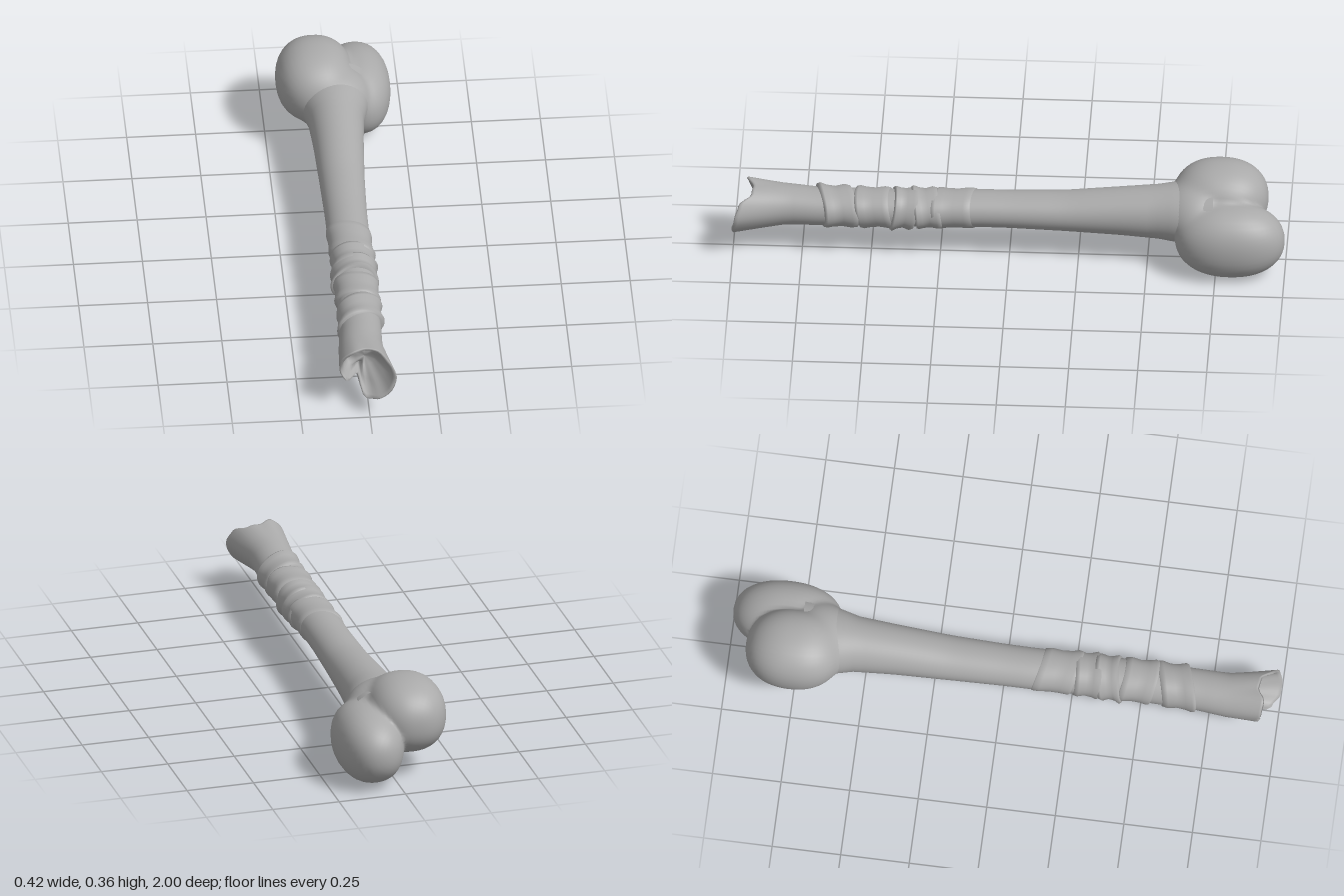
import * as THREE from 'three';
import { mergeVertices } from 'three/addons/utils/BufferGeometryUtils.js';

const SEG = 48;
const lerp = THREE.MathUtils.lerp;

// Shaft cross-sections: z, xMin, xMax, yMin, yMax
const SECTIONS = [
  [-0.74, -0.15, 0.14, 0.08, 0.31], [-0.6, -0.125, 0.112, 0.087, 0.3], [-0.55, -0.109, 0.095, 0.093, 0.292],
  [-0.4, -0.1, 0.083, 0.103, 0.276], [-0.2, -0.094, 0.071, 0.111, 0.253], [0, -0.09, 0.064, 0.116, 0.246],
  [0.1, -0.09, 0.063, 0.116, 0.246], [0.3, -0.085, 0.066, 0.113, 0.242], [0.5, -0.084, 0.066, 0.11, 0.241],
  [0.7, -0.088, 0.063, 0.105, 0.24], [0.8, -0.099, 0.06, 0.101, 0.246], [0.87, -0.105, 0.064, 0.092, 0.25],
];

// Broken rim, every 30 degrees around its centre: radius and z
const RIM_R = [0.108, 0.1, 0.09, 0.086, 0.102, 0.104, 0.096, 0.086, 0.058, 0.104, 0.101, 0.104];
const RIM_Z = [0.99, 0.975, 0.93, 0.925, 0.95, 0.945, 0.93, 0.94, 0.885, 0.97, 0.998, 1.0];

function sectionAt(z) {
  let i = 0;
  while (i < SECTIONS.length - 2 && z > SECTIONS[i + 1][0]) i++;
  const a = SECTIONS[i], b = SECTIONS[i + 1];
  const t = THREE.MathUtils.clamp((z - a[0]) / (b[0] - a[0]), 0, 1);
  return a.map((v, k) => lerp(v, b[k], t));
}

// Point on the shaft at angle a, raised by off
function shaftPoint(z, a, off = 0) {
  const [, x0, x1, y0, y1] = sectionAt(z);
  return new THREE.Vector3(
    (x0 + x1) / 2 + ((x1 - x0) / 2 + off) * Math.cos(a),
    (y0 + y1) / 2 + ((y1 - y0) / 2 + off) * Math.sin(a), z);
}

function rimPoint(a, scale = 1) {
  const k = (a / (Math.PI * 2)) * 12, i = Math.floor(k) % 12, j = (i + 1) % 12;
  const f = k - Math.floor(k), t = f * f * (3 - 2 * f);
  const r = lerp(RIM_R[i], RIM_R[j], t) * scale;
  return new THREE.Vector3(-0.01 + r * Math.cos(a), 0.17 + r * Math.sin(a), lerp(RIM_Z[i], RIM_Z[j], t));
}

// Skin a list of closed rings; each ring is a function of the angle
function loft(rings) {
  const pos = [], idx = [];
  rings.forEach((ring, r) => {
    for (let s = 0; s < SEG; s++) {
      pos.push(...ring((s / SEG) * Math.PI * 2).toArray());
      if (r === rings.length - 1) continue;
      const a = r * SEG + s, b = r * SEG + ((s + 1) % SEG);
      idx.push(a, b, a + SEG, b, b + SEG, a + SEG);
    }
  });
  const g = new THREE.BufferGeometry();
  g.setAttribute('position', new THREE.Float32BufferAttribute(pos, 3));
  g.setIndex(idx);
  g.computeVertexNormals();
  return g;
}

// Two rounded lobes and the neck, blended along rays from a shared inner point
function knobGeometry() {
  const c = new THREE.Vector3(0, 0.18, -0.77);
  const lobes = [
    { o: [-0.068, 0.222, -0.762], r: [0.142, 0.138, 0.172], n: 2.25 },
    { o: [0.087, 0.14, -0.802], r: [0.122, 0.138, 0.198], n: 2.2 },
    { o: [-0.01, 0.195, -0.68], r: [0.14, 0.12, 0.14], n: 2 },
  ];
  const reach = (d, { o, r, n }) => {
    let lo = 0, hi = 0.6;
    for (let k = 0; k < 24; k++) {
      const m = (lo + hi) / 2, p = c.clone().addScaledVector(d, m).toArray();
      const f = p.reduce((s, v, i) => s + Math.abs((v - o[i]) / r[i]) ** n, 0);
      if (f < 1) lo = m; else hi = m;
    }
    return lo;
  };
  let g = new THREE.SphereGeometry(1, 56, 40).rotateX(Math.PI / 2);
  g.deleteAttribute('uv');
  g.deleteAttribute('normal');
  g = mergeVertices(g, 1e-4);
  const P = g.attributes.position, d = new THREE.Vector3();
  for (let i = 0; i < P.count; i++) {
    d.fromBufferAttribute(P, i).normalize();
    const r = lobes.reduce((s, l) => s + reach(d, l) ** 28, 0) ** (1 / 28);
    P.setXYZ(i, c.x + d.x * r, c.y + d.y * r, c.z + d.z * r);
  }
  g.computeVertexNormals();
  return g;
}

export function createModel() {
  const group = new THREE.Group();
  const bone = new THREE.MeshStandardMaterial({ color: 0xaaaaaa });
  bone.name = 'bone grey';
  const add = (name, geometry) => {
    const m = new THREE.Mesh(geometry, bone);
    m.name = name;
    group.add(m);
  };

  add('knob', knobGeometry());

  // Shaft, flaring to the broken rim and turning into a shallow hollow
  const rings = [];
  for (let z = -0.74; z < 0.83; z += 0.04) rings.push(a => shaftPoint(z, a));
  for (const t of [0.4, 0.75, 0.93]) rings.push(a => shaftPoint(0.83, a).lerp(rimPoint(a), t));
  rings.push(a => rimPoint(a));
  for (const [s, dz] of [[0.94, 0.004], [0.87, -0.008], [0.8, -0.04], [0.65, -0.075]])
    rings.push(a => { const p = rimPoint(a, s); p.z += dz; return p; });
  rings.push(a => rimPoint(a, 0.35).setZ(0.86), () => new THREE.Vector3(-0.01, 0.17, 0.85));
  add('shaft', loft(rings));

  // Overlapping grip wraps: start, end, height, tilt, direction of tilt
  const wraps = [
    [0.12, 0.27, 0.007, 0.018, 0.6], [0.25, 0.35, 0.011, 0.012, 2.4], [0.34, 0.43, 0.013, 0.014, 4.2],
    [0.42, 0.55, 0.009, 0.016, 1.2], [0.56, 0.69, 0.012, 0.022, 3.0],
  ];
  const profile = [[0, -0.6], [0.05, 0.5], [0.2, 0.8], [0.45, 0.25], [0.7, 0.5], [0.88, 1], [0.96, 0.7], [1, -0.6]];
  wraps.forEach(([z0, z1, h, tilt, dir], i) => {
    add('gripWrap' + (i + 1), loft(profile.map(([t, k]) => a => {
      const z = lerp(z0, z1, t) + tilt * Math.cos(a - dir);
      const wave = 1 + 0.3 * Math.sin(3 * a + i * 2);
      return shaftPoint(z, a, k * h * (k > 0 ? wave : 1));
    })));
  });

  return group;
}
